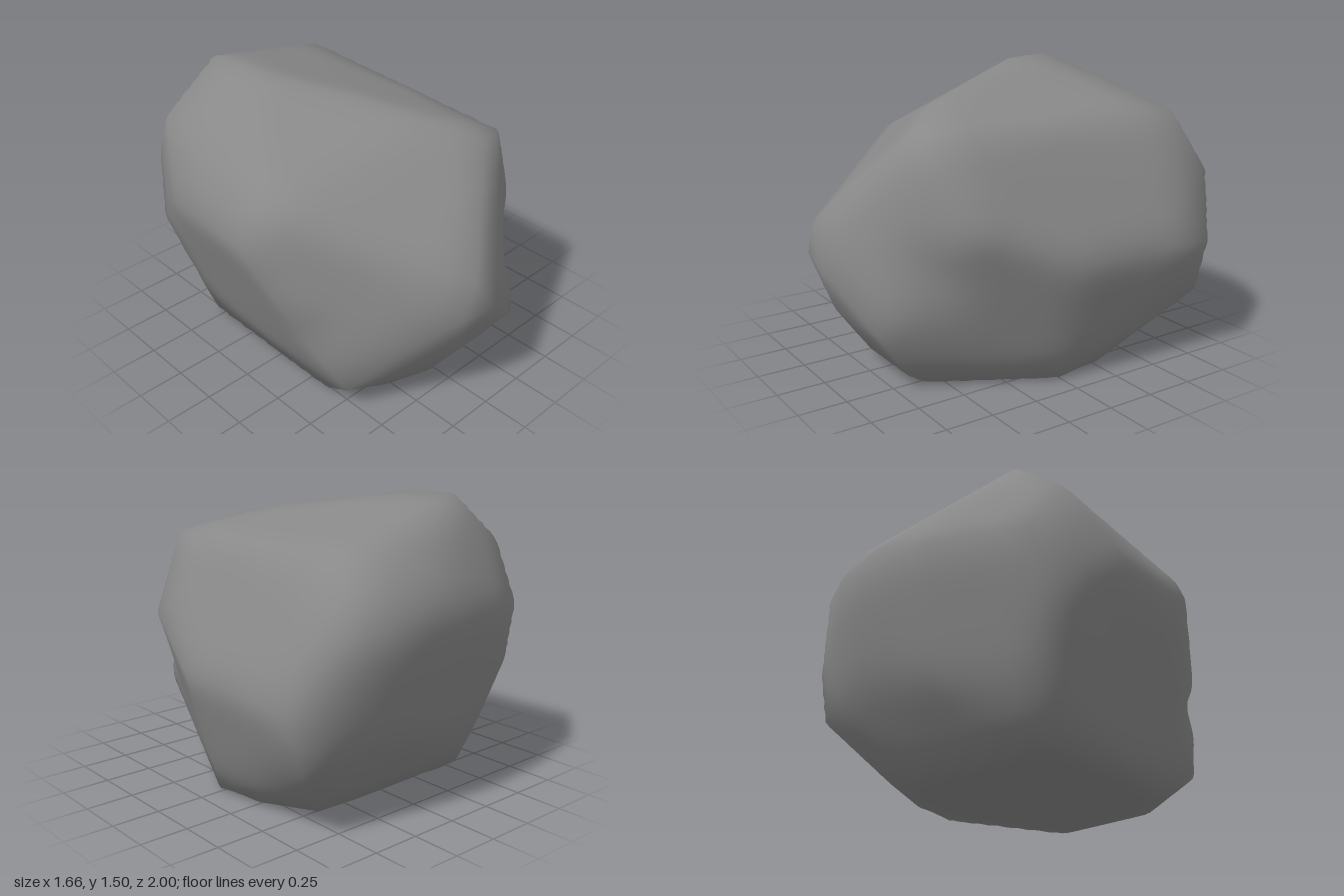
import * as THREE from 'three';
import { mergeVertices } from 'three/addons/utils/BufferGeometryUtils.js';
import { ConvexGeometry } from 'three/addons/geometries/ConvexGeometry.js';

// Corner points of the boulder, grouped from the ground up
const base = [
  [-0.53, 0.02, -0.55], [-0.53, 0.02, 0.38], [-0.28, 0.01, 0.57], [0.28, 0, 0.58],
  [0.62, 0.01, 0.02], [0.58, 0.01, -0.25], [0.46, 0.03, -0.57],
  [-0.1, 0.07, 0.69], [0.3, 0.07, 0.69], [-0.57, 0.15, 0.57],
];
const lower = [
  [-0.1, 0.33, 0.88], [0.33, 0.33, 0.87], [-0.67, 0.39, 0.42], [-0.4, 0.45, 0.77],
  [0.75, 0.36, -0.78], [0.4, 0.47, -0.88], [0, 0.38, -0.83], [-0.52, 0.3, -0.7],
];
const middle = [
  [0, 0.6, 1], [-0.2, 0.62, 0.97], [-0.12, 0.8, 0.97], [-0.73, 0.56, 0.34],
  [0.64, 0.85, 0.53], [0.8, 0.65, 0.03], [0.83, 0.65, -0.77],
  [-0.84, 0.91, 0.12], [-0.82, 0.91, -0.4], [-0.69, 0.62, -0.73],
];
const upper = [
  [0.46, 1, -0.99], [0.22, 1.06, -1], [0.3, 0.9, -0.99], [-0.13, 1, -0.96],
  [-0.61, 0.95, -0.84], [0.67, 0.97, -0.89], [0.63, 0.92, 0.2], [-0.73, 1.1, 0.23],
];
const crown = [
  [0.28, 1.26, 0.64], [0.44, 1.25, 0.6], [0.1, 1.35, 0.43], [0, 1.4, 0.2], [-0.1, 1.43, -0.1],
  [-0.33, 1.49, -0.35], [-0.36, 1.5, -0.63], [-0.66, 1.25, -0.66], [0.49, 1.27, -0.8],
];

// Shallow hollows: position, depth, radius
const hollows = [
  { at: new THREE.Vector3(0.5, 0.6, 0.7), depth: 0.08, radius: 0.14 },
  { at: new THREE.Vector3(-0.66, 0.47, 0.42), depth: 0.04, radius: 0.09 },
];
const centre = new THREE.Vector3(0, 0.7, 0);

// Planes of the convex hull around the corner points
function hullPlanes() {
  const points = [base, lower, middle, upper, crown].flat().map((p) => new THREE.Vector3(...p));
  const pos = new ConvexGeometry(points).attributes.position;
  const planes = [];
  for (let i = 0; i < pos.count; i += 3) {
    const [a, b, c] = [0, 1, 2].map((k) => new THREE.Vector3().fromBufferAttribute(pos, i + k).sub(centre));
    const normal = b.sub(a).cross(c.sub(a)).normalize();
    const distance = normal.dot(a);
    if (distance > 0.01) planes.push({ normal, distance });
  }
  return planes;
}

// Blend each normal with its neighbours for soft shading
function softenNormals(geometry, passes) {
  const index = geometry.index.array;
  const normals = geometry.attributes.normal.array;
  for (let pass = 0; pass < passes; pass++) {
    const sum = new Float32Array(normals.length);
    for (let i = 0; i < index.length; i += 3) {
      for (let axis = 0; axis < 3; axis++) {
        let total = 0;
        for (let k = 0; k < 3; k++) total += normals[index[i + k] * 3 + axis];
        for (let k = 0; k < 3; k++) sum[index[i + k] * 3 + axis] += total;
      }
    }
    normals.set(sum);
    geometry.normalizeNormals();
  }
}

function boulderGeometry() {
  const sphere = new THREE.IcosahedronGeometry(1, 40);
  sphere.deleteAttribute('normal');
  sphere.deleteAttribute('uv');
  const geometry = mergeVertices(sphere, 1e-4);
  const pos = geometry.attributes.position;
  const planes = hullPlanes();
  const v = new THREE.Vector3();
  for (let i = 0; i < pos.count; i++) {
    const dir = new THREE.Vector3().fromBufferAttribute(pos, i).normalize();
    // Push the sphere out to the nearest hull plane
    let reach = Infinity;
    for (const { normal, distance } of planes) {
      const facing = normal.dot(dir);
      if (facing > 1e-5) reach = Math.min(reach, distance / facing);
    }
    v.copy(dir).multiplyScalar(reach).add(centre);
    // Press in the hollows
    let dent = 0;
    for (const { at, depth, radius } of hollows) {
      dent += depth * Math.exp(-v.distanceToSquared(at) / (radius * radius));
    }
    v.addScaledVector(dir, -dent);
    pos.setXYZ(i, v.x, v.y, v.z);
  }
  geometry.computeVertexNormals();
  softenNormals(geometry, 40);
  return geometry;
}

export function createModel() {
  const group = new THREE.Group();
  group.name = 'rock';
  const boulder = new THREE.Mesh(boulderGeometry(), new THREE.MeshStandardMaterial({ color: 0x888888 }));
  boulder.name = 'boulder';
  group.add(boulder);
  return group;
}
